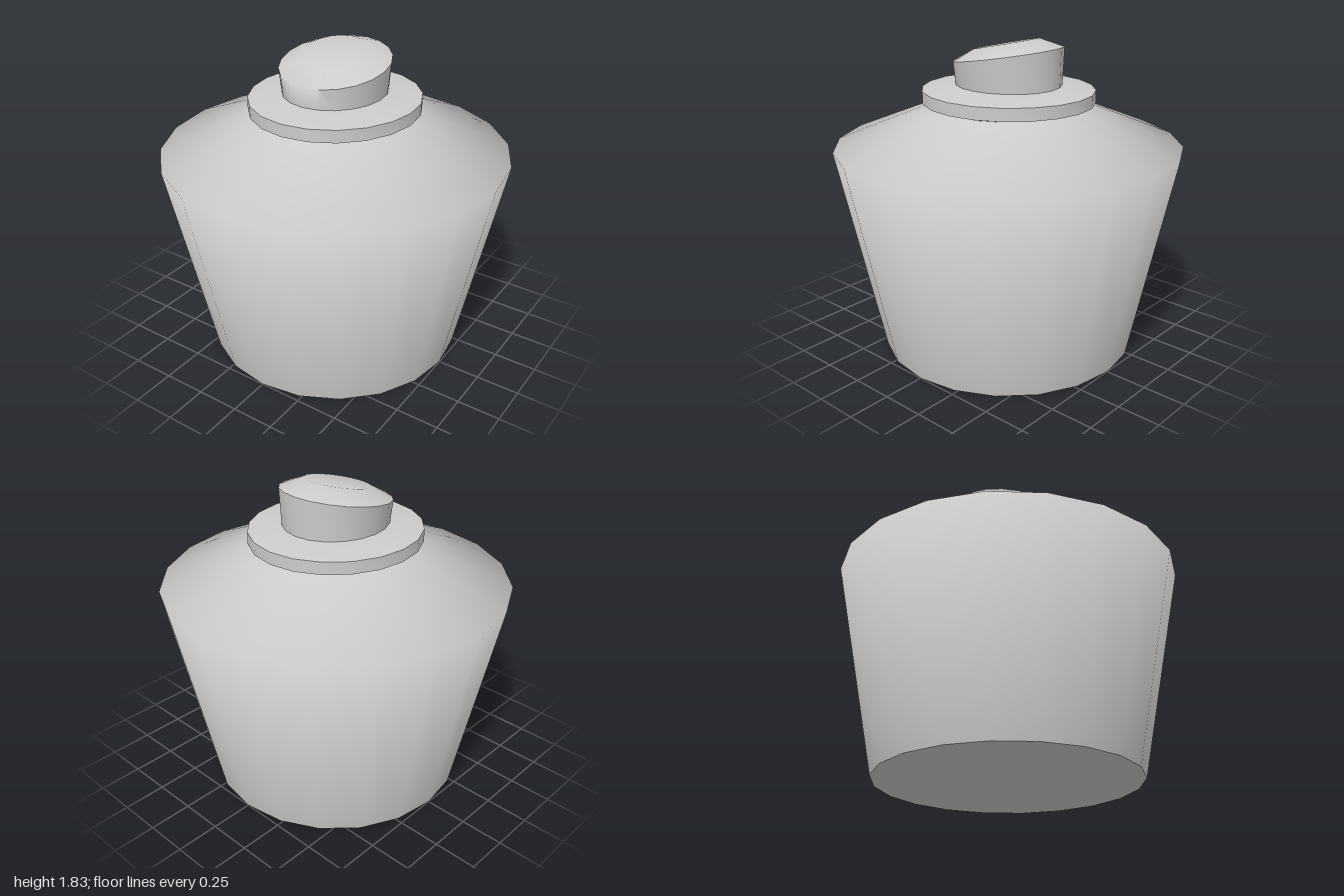
import * as THREE from 'three';
import { toCreasedNormals } from 'three/addons/utils/BufferGeometryUtils.js';

const SIDES = 20;
const material = new THREE.MeshStandardMaterial({ color: 0xcccccc });

function lathe(points) {
  return new THREE.LatheGeometry(points.map(([r, y]) => new THREE.Vector2(r, y)), SIDES);
}

function part(name, geometry, creaseAngle) {
  const mesh = new THREE.Mesh(toCreasedNormals(geometry, creaseAngle), material);
  mesh.name = name;
  return mesh;
}

// Stopper: rings that shift and tilt so the top slopes down to the front
function stopperGeometry() {
  const rings = [
    { rx: 0.29, rz: 0.313, y: 1.565, z: 0, tilt: 0 },
    { rx: 0.313, rz: 0.315, y: 1.735, z: 0, tilt: -0.175 },
    { rx: 0.185, rz: 0.183, y: 1.792, z: 0.015, tilt: -0.22 },
    { rx: 0, rz: 0, y: 1.792, z: 0.015, tilt: 0 },
  ];
  const geometry = lathe(rings.map((r) => [1, r.y]));
  const pos = geometry.attributes.position;
  for (let i = 0; i < pos.count; i++) {
    const r = rings[i % rings.length];
    const dz = pos.getZ(i) * r.rz;
    pos.setXYZ(i, pos.getX(i) * r.rx, r.y + dz * r.tilt, r.z + dz);
  }
  return geometry;
}

export function createModel() {
  const group = new THREE.Group();

  // Tapered body with a sloping shoulder, shaded smoothly across the edge
  group.add(part('body', lathe([[0.75, 0], [1, 1.22], [0.43, 1.452]]), 1.45));

  // Flat underside
  group.add(part('base', new THREE.CircleGeometry(0.75, SIDES).rotateX(Math.PI / 2), 0.5));

  // Collar with a short neck below, slightly narrower across x
  const collar = lathe([[0.43, 1.44], [0.43, 1.465], [0.502, 1.468], [0.502, 1.54], [0.3, 1.57], [0, 1.57]]);
  collar.scale(0.962, 1, 1);
  group.add(part('collar', collar, 0.6));

  group.add(part('stopper', stopperGeometry(), 1.08));
  return group;
}
